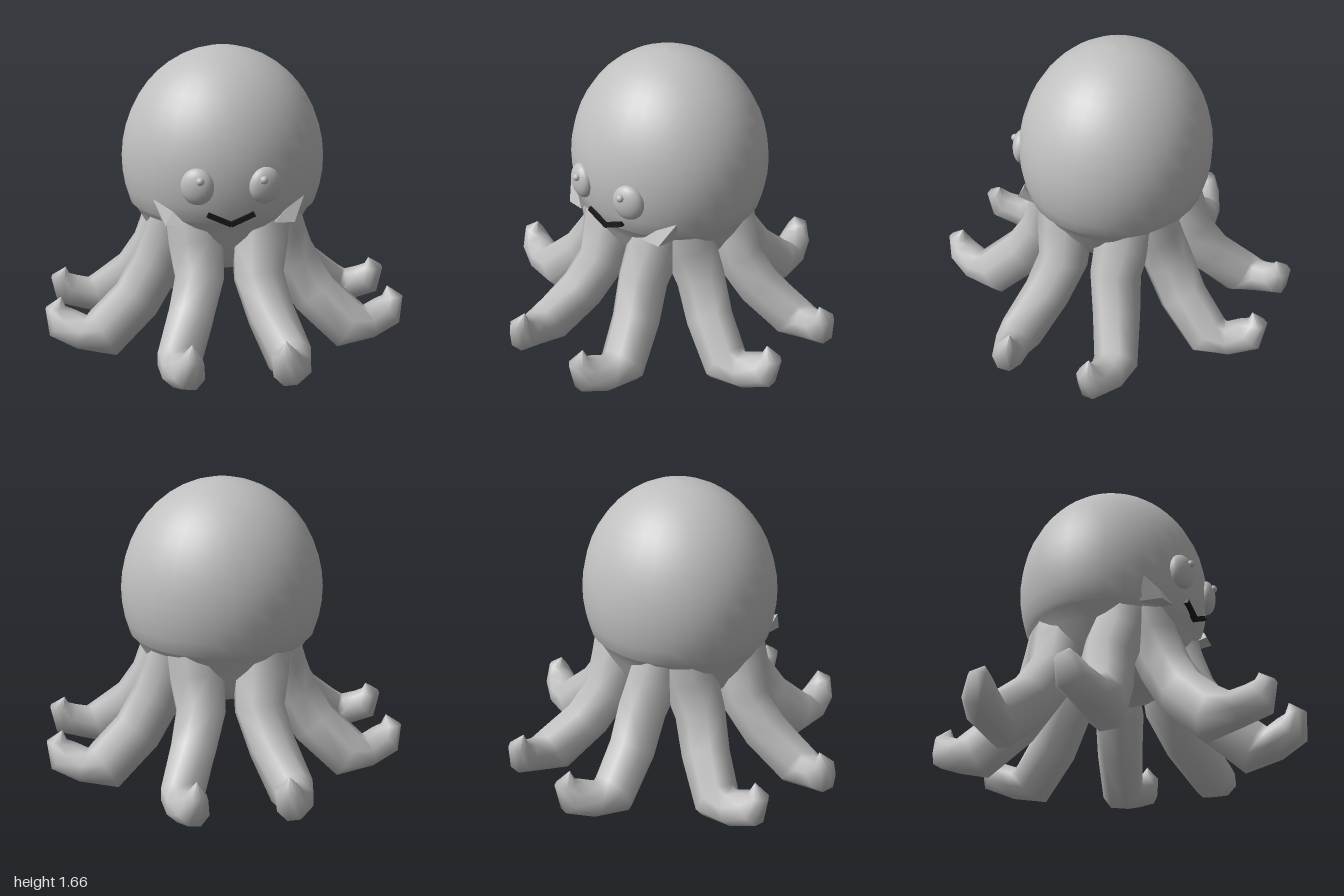
import * as THREE from 'three';
import { ConvexGeometry } from 'three/addons/geometries/ConvexGeometry.js';

// Tentacle stations: x, y, z, radius in the bending plane, sideways radius
const STATIONS = [
  [0.19, 0.82, 0.27, 0.13, 0.15],
  [0.175, 0.66, 0.315, 0.135, 0.15],
  [0.16, 0.48, 0.385, 0.135, 0.135],
  [0.215, 0.30, 0.50, 0.135, 0.125],
  [0.29, 0.135, 0.685, 0.14, 0.115],
  [0.285, 0.145, 0.80, 0.09, 0.10],
  [0.25, 0.19, 0.91, 0.095, 0.085],
  [0.237, 0.275, 0.943, 0.055, 0.055],
  [0.232, 0.335, 0.91, 0, 0],
];

// Lofts eight-sided rings along the stations; side = -1 mirrors in x
function tentacleGeometry(side) {
  const sides = 8;
  const points = STATIONS.map(([x, y, z]) => new THREE.Vector3(x, y, z));
  const positions = [];
  const indices = [];
  STATIONS.forEach(([, , , bend, wide], i) => {
    const tangent = points[Math.min(i + 1, points.length - 1)].clone()
      .sub(points[Math.max(i - 1, 0)]).normalize();
    const across = new THREE.Vector3(1, 0, 0);
    across.addScaledVector(tangent, -across.dot(tangent)).normalize();
    const up = new THREE.Vector3().crossVectors(tangent, across);
    for (let j = 0; j < sides; j++) {
      const a = ((j + 0.5) / sides) * Math.PI * 2;
      const p = points[i].clone()
        .addScaledVector(across, Math.cos(a) * wide * 1.04)
        .addScaledVector(up, Math.sin(a) * bend * 1.04);
      positions.push(p.x * side, Math.max(p.y, 0), p.z);
    }
  });
  for (let i = 0; i < STATIONS.length - 1; i++) {
    for (let j = 0; j < sides; j++) {
      const a = i * sides + j;
      const b = i * sides + ((j + 1) % sides);
      const c = a + sides;
      const d = b + sides;
      if (side > 0) indices.push(a, b, c, b, d, c);
      else indices.push(a, c, b, b, c, d);
    }
  }
  const geometry = new THREE.BufferGeometry();
  geometry.setAttribute('position', new THREE.Float32BufferAttribute(positions, 3));
  geometry.setIndex(indices);
  geometry.computeVertexNormals();
  return geometry;
}

export function createModel() {
  const model = new THREE.Group();
  model.name = 'octopus';
  const skin = new THREE.MeshStandardMaterial({ color: 0xbfbfbf });
  skin.name = 'grey skin';
  const black = new THREE.MeshStandardMaterial({ color: 0x1a1a1a });
  black.name = 'black mouth';

  const add = (name, geometry, material, parent = model) => {
    const mesh = new THREE.Mesh(geometry, material);
    mesh.name = name;
    parent.add(mesh);
    return mesh;
  };

  // Head: domed top, narrowing neck and a closed underside
  const profile = [[0, 0.5], [0.2, 0.47], [0.29, 0.49], [0.36, 0.57], [0.415, 0.66], [0.455, 0.73], [0.495, 0.8]];
  const start = -0.38;
  for (let i = 0; i <= 14; i++) {
    const a = start + (Math.PI / 2 - start) * (i / 14);
    profile.push([Math.max(0, 0.56 * Math.cos(a)), 1.05 + 0.62 * Math.sin(a)]);
  }
  const head = add('head', new THREE.LatheGeometry(
    profile.map(([r, y]) => new THREE.Vector2(r, y)), 32), skin);
  head.scale.z = 0.94;

  // Tentacles: a mirrored pair on each of four sides
  const geometries = { left: tentacleGeometry(1), right: tentacleGeometry(-1) };
  ['front', 'left', 'back', 'right'].forEach((where, i) => {
    const pair = new THREE.Group();
    pair.name = `${where}TentaclePair`;
    pair.rotation.y = (i * Math.PI) / 2;
    for (const key of ['left', 'right']) add(`${key}Tentacle`, geometries[key], skin, pair);
    model.add(pair);
  });

  for (const side of [1, -1]) {
    const label = side > 0 ? 'left' : 'right';

    // Bulging eye with a small round pupil
    const eye = add(`${label}Eye`, new THREE.SphereGeometry(1, 24, 16), skin);
    eye.scale.set(0.088, 0.097, 0.05);
    eye.position.set(0.175 * side, 1.02, 0.497);
    eye.rotation.y = 0.3 * side;
    const pupil = add(`${label}Pupil`, new THREE.SphereGeometry(0.021, 14, 10), skin);
    pupil.position.set(0.163 * side, 1.06, 0.545);

    // Pointed cheek fold
    const corners = [[0.4, 0.925, 0.375], [0.34, 0.8, 0.45], [0.23, 0.805, 0.465],
      [0.3, 0.87, 0.425], [0.25, 0.8, 0.38], [0.36, 0.8, 0.33]];
    add(`${label}Cheek`, new ConvexGeometry(
      corners.map(([x, y, z]) => new THREE.Vector3(x * side, y, z))), skin);

    // Half of the V-shaped smile
    const smile = add(`${label}Smile`, new THREE.BoxGeometry(0.136, 0.027, 0.03), black);
    smile.position.set(0.06 * side, 0.84, 0.493);
    smile.rotation.z = 0.43 * side;
  }

  return model;
}
